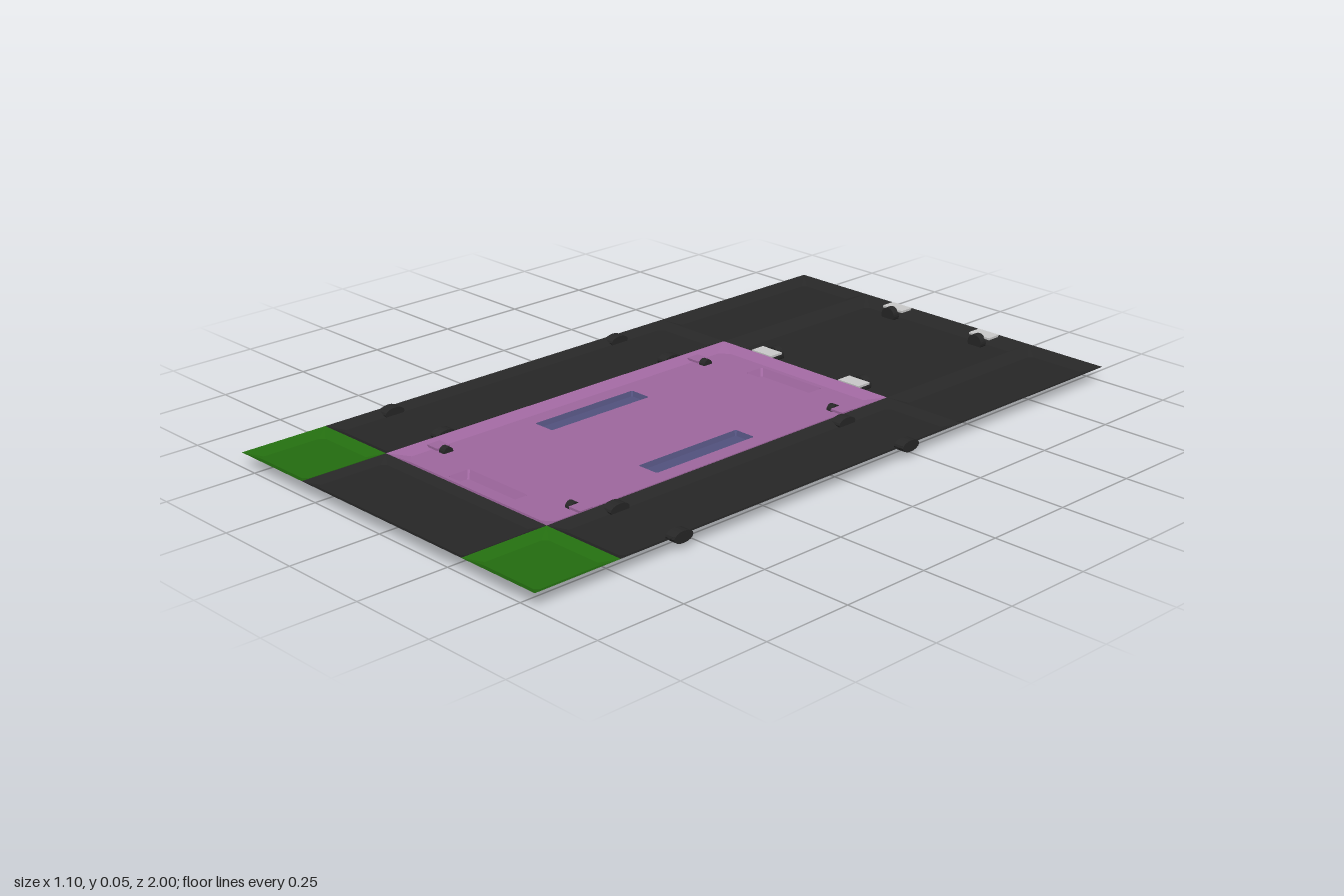
import * as THREE from 'three';

const mat = (color) => new THREE.MeshStandardMaterial({ color, side: THREE.DoubleSide, flatShading: true });
const BLACK = mat(0x272727), GREEN = mat(0x246e10), PURPLE = mat(0xa068a0), BLUE = mat(0x53527f), GREY = mat(0xcccccc);

// Chamfered rectangle, counter-clockwise, as [x, z] points
function outline([x0, x1, z0, z1], c) {
  return [[x0 + c, z0], [x1 - c, z0], [x1, z0 + c], [x1, z1 - c],
    [x1 - c, z1], [x0 + c, z1], [x0, z1 - c], [x0, z0 + c]];
}

// Sloping band between two outlines at different heights
function band(top, yTop, bottom, yBottom) {
  const pos = [], n = top.length;
  for (let i = 0; i < n; i++) {
    const j = (i + 1) % n;
    const a = [top[i][0], yTop, top[i][1]], b = [top[j][0], yTop, top[j][1]];
    const c = [bottom[j][0], yBottom, bottom[j][1]], d = [bottom[i][0], yBottom, bottom[i][1]];
    pos.push(...a, ...c, ...b, ...a, ...d, ...c);
  }
  const geo = new THREE.BufferGeometry();
  geo.setAttribute('position', new THREE.Float32BufferAttribute(pos, 3));
  geo.computeVertexNormals();
  return geo;
}

// Flat sheet with rectangular holes
function sheet(points, y, holes) {
  const toPath = (pts) => pts.map(([x, z]) => new THREE.Vector2(x, -z));
  const shape = new THREE.Shape(toPath(points));
  for (const h of holes) shape.holes.push(new THREE.Path(toPath(outline(h, 0.004))));
  return new THREE.ShapeGeometry(shape).rotateX(-Math.PI / 2).translate(0, y, 0);
}

// Shallow tray: sloped walls down to a flat floor
function tray(name, material, rect, yTop, yBottom, inset, holes = [], rimC = 0.0005, floorC = 0.012) {
  const [x0, x1, z0, z1] = rect;
  const g = new THREE.Group();
  g.name = name;
  const rim = outline(rect, rimC);
  const floor = outline([x0 + inset, x1 - inset, z0 + inset, z1 - inset], floorC);
  const wall = new THREE.Mesh(band(rim, yTop, floor, yBottom), material);
  wall.name = name + 'Wall';
  const base = new THREE.Mesh(sheet(floor, yBottom, holes), material);
  base.name = name + 'Floor';
  g.add(wall, base);
  return g;
}

function part(name, geo, material, x, y, z) {
  const m = new THREE.Mesh(geo, material);
  m.name = name;
  m.position.set(x, y, z);
  return m;
}

export function createModel() {
  const model = new THREE.Group();
  model.name = 'panelSet';
  const RIM = 0.04;

  // Central tray with grip pockets at its ends and two sunken strips
  const grips = [[-0.11, 0.11, -0.37, -0.31], [-0.11, 0.11, 0.645, 0.71]];
  const strips = [[-0.225, -0.16, 0, 0.335], [0.16, 0.225, 0, 0.335]];
  model.add(tray('centreTray', PURPLE, [-0.3, 0.3, -0.415, 0.75], RIM, 0.025, 0.03, [...grips, ...strips], 0.0005, 0.025));
  for (const r of grips) model.add(tray('gripPocket', PURPLE, r, 0.025, 0.005, 0.01, [], 0.004, 0.004));
  for (const r of strips) model.add(tray('sunkenStrip', BLUE, r, 0.025, 0.012, 0.005, [], 0.004, 0.003));

  // Front and rear centre trays
  model.add(tray('frontTray', BLACK, [-0.3, 0.3, 0.75, 1], RIM, 0.027, 0.025));
  model.add(tray('rearTray', BLACK, [-0.3, 0.3, -1, -0.415], RIM, 0.015, 0.032));

  const knob = new THREE.CylinderGeometry(0.015, 0.015, 0.02, 16).rotateZ(Math.PI / 2);
  const lug = new THREE.CylinderGeometry(0.015, 0.015, 0.03, 16).rotateZ(Math.PI / 2).scale(1, 1, 2);
  const disc = new THREE.CylinderGeometry(0.0235, 0.0235, 0.022, 24).rotateX(Math.PI / 2);
  const tab = new THREE.BoxGeometry(0.072, 0.006, 0.043);
  const bracket = new THREE.BoxGeometry(0.04, 0.006, 0.04);

  for (const s of [-1, 1]) {
    const span = s < 0 ? [-0.55, -0.3] : [0.3, 0.55];
    // Side trays and front corners
    model.add(tray('rearSideTray', BLACK, [...span, -1, -0.415], RIM, 0.022, 0.035));
    model.add(tray('sideTray', BLACK, [...span, -0.415, 0.75], RIM, 0.026, 0.03));
    model.add(tray('frontCorner', GREEN, [...span, 0.75, 1], RIM, 0.026, 0.03));

    // Snap lugs on both long edges of each side tray
    for (const z of [-0.225, 0.555]) {
      for (const x of [0.32, 0.533]) model.add(part('sideLug', lug, BLACK, s * x, 0.031, z));
    }

    // Knobs and brackets in the centre tray
    for (const z of [-0.28, 0.615]) {
      model.add(part('centreBracket', bracket, PURPLE, s * 0.265, 0.032, z));
      model.add(part('centreKnob', knob, BLACK, s * 0.235, 0.025, z));
    }

    // Catches at both ends of the rear tray
    for (const [zTab, zDisc] of [[-0.978, -0.948], [-0.441, -0.474]]) {
      model.add(part('catchTab', tab, GREY, s * 0.16, 0.038, zTab));
      model.add(part('catchDisc', disc, BLACK, s * 0.16, 0.0235, zDisc));
    }
  }
  return model;
}
